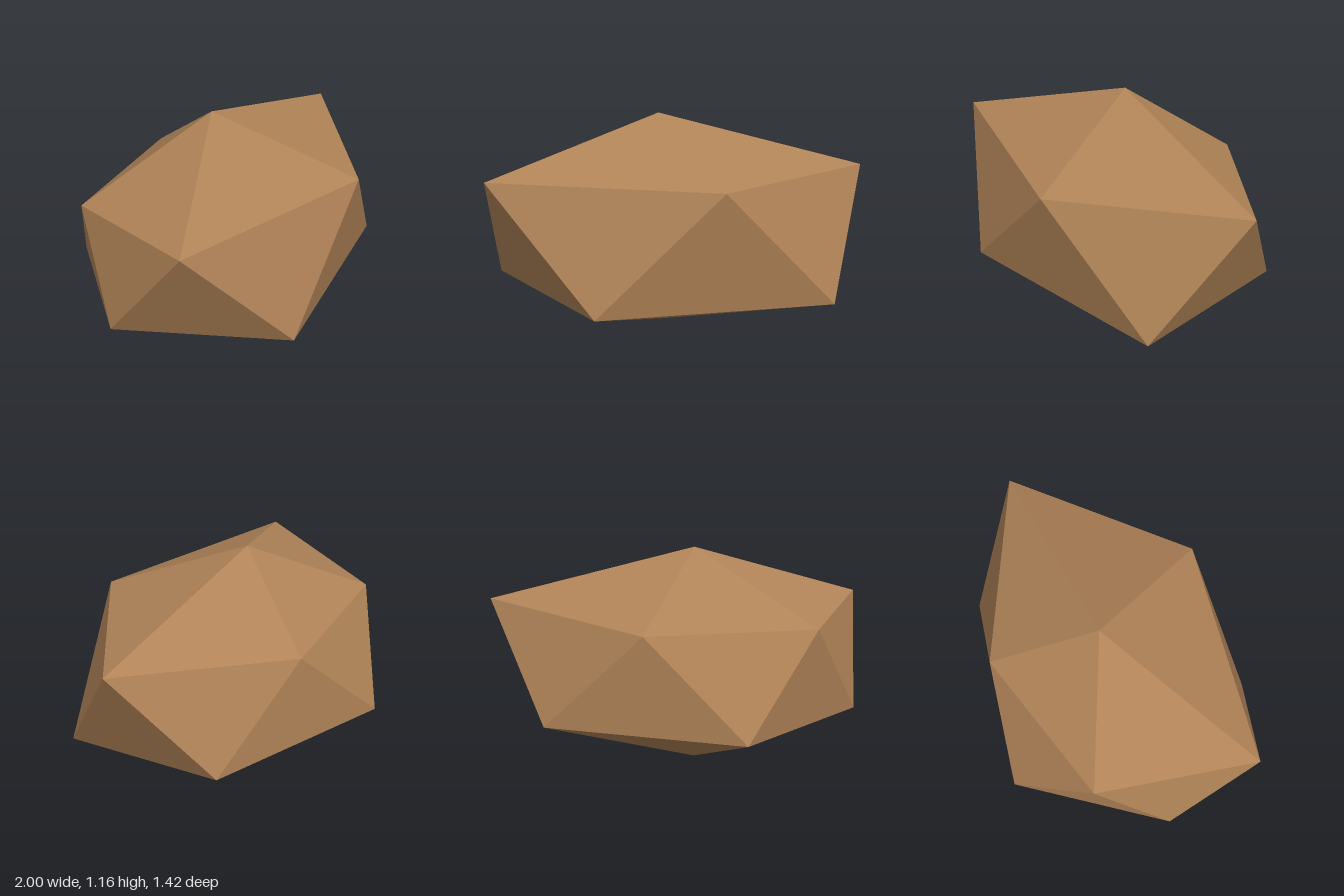
import * as THREE from 'three';

// Faceted boulder: two poles joined by two staggered rings of five corners.
export function createModel() {
  const stone = new THREE.MeshStandardMaterial({ color: 0xb08357, flatShading: true });
  stone.name = 'brown stone';

  const top = [-0.11, 1.16, -0.04];
  const bottom = [-0.11, 0, -0.04];
  // Both rings run counterclockwise seen from above
  const upper = [
    [-1, 0.865, 0.425], [0.2, 0.845, 0.675], [1, 0.87, -0.04],
    [0.12, 0.77, -0.57], [-0.76, 0.785, -0.39],
  ];
  const lower = [
    [-0.45, 0.22, 0.71], [0.79, 0.21, 0.435], [0.65, 0.26, -0.445],
    [-0.41, 0.255, -0.71], [-0.98, 0.29, -0.04],
  ];

  const corners = [];
  for (let i = 0; i < 5; i++) {
    const j = (i + 1) % 5;
    corners.push(top, upper[i], upper[j]);         // cap
    corners.push(upper[i], lower[i], upper[j]);    // side, pointing down
    corners.push(upper[j], lower[i], lower[j]);    // side, pointing up
    corners.push(bottom, lower[j], lower[i]);      // underside
  }

  const geometry = new THREE.BufferGeometry();
  geometry.setAttribute('position', new THREE.Float32BufferAttribute(corners.flat(), 3));
  geometry.computeVertexNormals();

  const rock = new THREE.Mesh(geometry, stone);
  rock.name = 'rock';
  const group = new THREE.Group();
  group.name = 'boulder';
  group.add(rock);
  return group;
}
